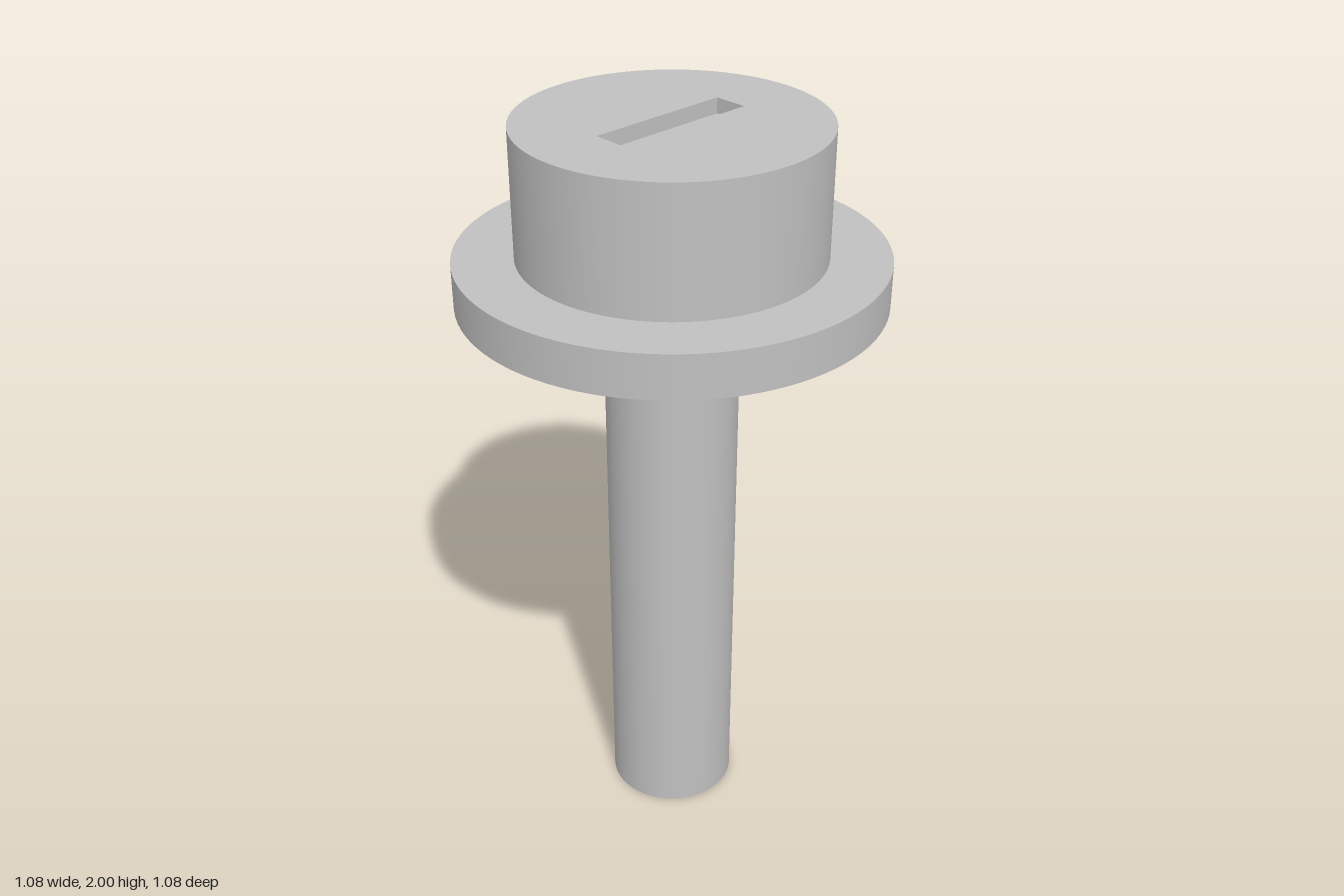
import * as THREE from 'three';

const SEGMENTS = 96;
const SHAFT_R = 0.173, FLANGE_R = 0.541, HEAD_R = 0.387;
const FLANGE_Y = 1.555, HEAD_Y = 1.67, TOP_Y = 2;
const SLOT_W = 0.392, SLOT_D = 0.09, SLOT_DEPTH = 0.04;

// Head: a disc pierced by the slot, with a smooth outer wall
function slottedHead() {
  const disc = new THREE.Shape().absarc(0, 0, HEAD_R, 0, Math.PI * 2);
  const x = SLOT_W / 2, z = SLOT_D / 2;
  disc.holes.push(new THREE.Path([[-x, -z], [-x, z], [x, z], [x, -z]].map(p => new THREE.Vector2(...p))));
  const geometry = new THREE.ExtrudeGeometry(disc, {
    depth: TOP_Y - HEAD_Y, bevelEnabled: false, curveSegments: SEGMENTS,
  });
  geometry.rotateX(-Math.PI / 2).translate(0, HEAD_Y, 0);

  // Radial normals on the round wall
  const { position, normal } = geometry.attributes;
  for (let i = 0; i < position.count; i++) {
    const px = position.getX(i), pz = position.getZ(i), r = Math.hypot(px, pz);
    if (r > HEAD_R * 0.9 && Math.abs(normal.getY(i)) < 0.5) normal.setXYZ(i, px / r, 0, pz / r);
  }
  return geometry;
}

export function createModel() {
  const group = new THREE.Group();
  group.name = 'slottedScrew';
  const metal = new THREE.MeshStandardMaterial({ color: 0xc0c0c0 });
  metal.name = 'grey metal';

  const add = (name, geometry, y = 0) => {
    const mesh = new THREE.Mesh(geometry, metal);
    mesh.name = name;
    mesh.position.y = y;
    group.add(mesh);
  };
  const cylinder = (name, radius, y0, y1) =>
    add(name, new THREE.CylinderGeometry(radius, radius, y1 - y0, SEGMENTS), (y0 + y1) / 2);

  cylinder('shaft', SHAFT_R, 0, FLANGE_Y);
  cylinder('flange', FLANGE_R, FLANGE_Y, HEAD_Y);
  add('head', slottedHead());

  // Block filling the bottom of the slot
  const fill = TOP_Y - SLOT_DEPTH - HEAD_Y;
  add('slotFloor', new THREE.BoxGeometry(SLOT_W, fill, SLOT_D), HEAD_Y + fill / 2);

  return group;
}
